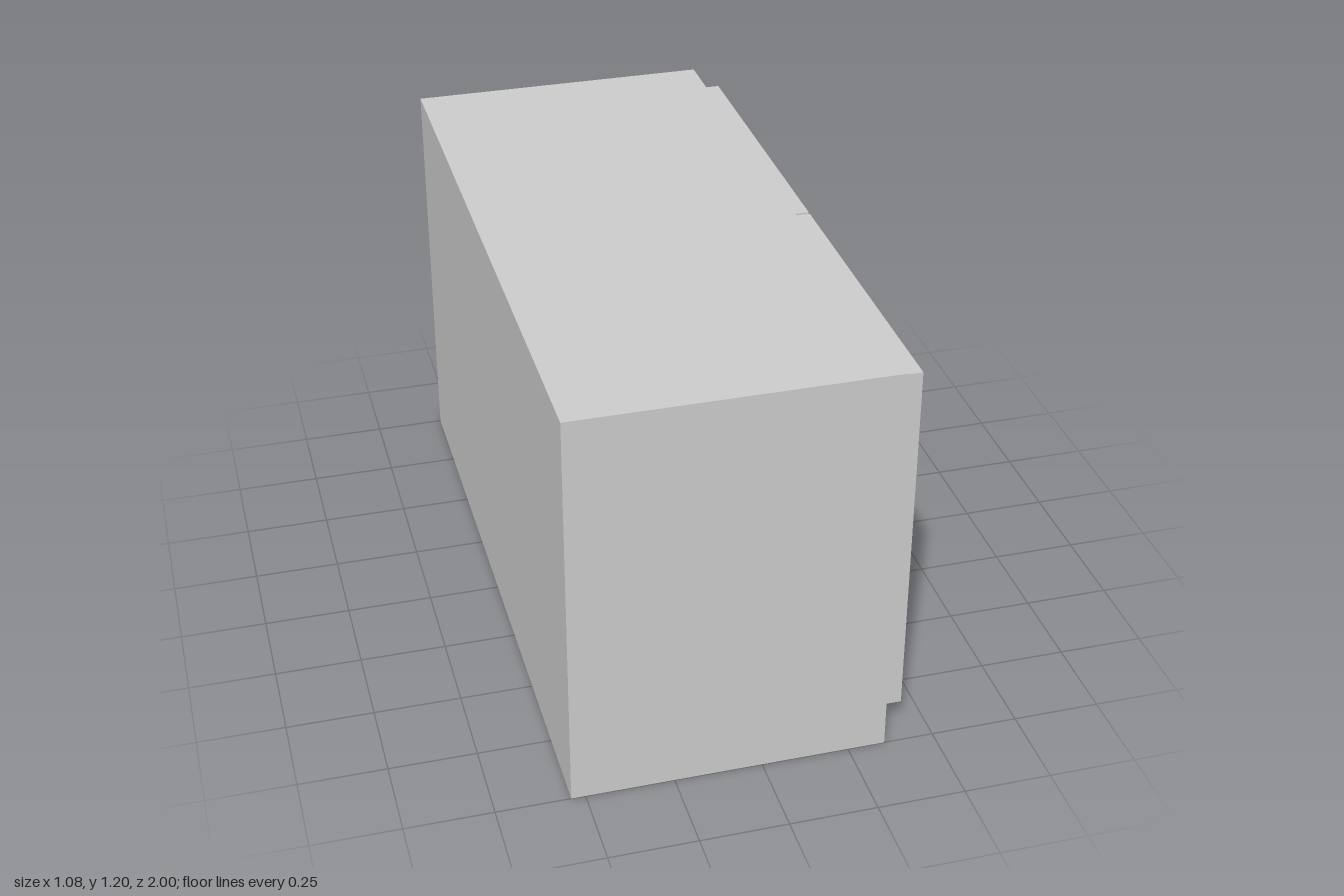
import * as THREE from 'three';

export function createModel() {
  const cabinet = new THREE.Group();
  cabinet.name = 'wallCabinet';
  const material = new THREE.MeshStandardMaterial({ color: 0xcccccc, flatShading: true });

  // Box given by its [min, max] extent along each axis
  function addBox(name, [x0, x1], [y0, y1], [z0, z1]) {
    const mesh = new THREE.Mesh(new THREE.BoxGeometry(x1 - x0, y1 - y0, z1 - z0), material);
    mesh.position.set((x0 + x1) / 2, (y0 + y1) / 2, (z0 + z1) / 2);
    mesh.name = name;
    cabinet.add(mesh);
  }

  // Carcass, with its doors on the +x side
  addBox('cabinetBody', [-0.54, 0.357], [0, 1.2], [-1, 1]);

  // Two doors with a narrow gap between them, each with a block handle
  const doors = [
    { side: 'front', door: [0.006, 0.937], handle: [0.2, 0.313] },
    { side: 'back', door: [-0.946, -0.004], handle: [-0.314, -0.198] },
  ];
  for (const { side, door, handle } of doors) {
    addBox(`${side}Door`, [0.357, 0.425], [0.083, 1.157], door);
    addBox(`${side}Handle`, [0.425, 0.54], [0.162, 0.477], handle);
  }

  return cabinet;
}
